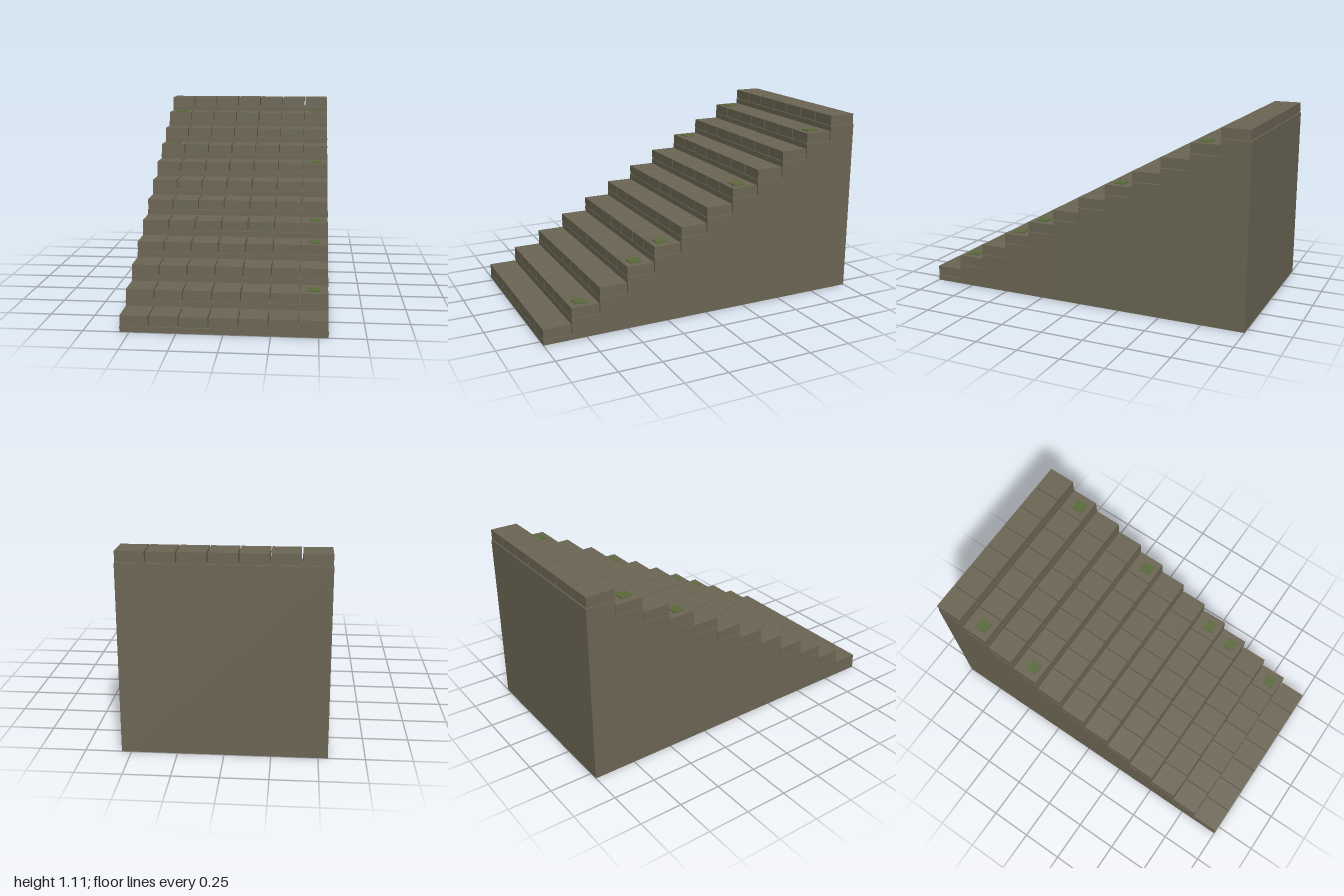
import * as THREE from 'three';

const STEPS = 12, COLUMNS = 7;
const RISE = 0.0923, DEPTH = 2 / STEPS, WIDTH = 1.104;
const BLOCK_H = 0.059, BLOCK_W = 0.152, BLOCK_D = 0.162, PITCH = 0.158;

const stone = new THREE.MeshStandardMaterial({ name: 'stone', color: 0x6c6654 });
const moss = new THREE.MeshStandardMaterial({ name: 'moss', color: 0x5a6b3a });

// Box standing on y
function box(parent, name, material, w, h, d, x, y, z) {
  const mesh = new THREE.Mesh(new THREE.BoxGeometry(w, h, d), material);
  mesh.name = name;
  mesh.position.set(x, y + h / 2, z);
  parent.add(mesh);
}

// Moss patches: step number -> sides
const mossSides = { 1: [1], 3: [1], 4: [1], 7: [1], 8: [-1], 10: [-1, 1] };

export function createModel() {
  const model = new THREE.Group();
  model.name = 'stoneStairs';

  for (let i = 0; i < STEPS; i++) {
    const step = new THREE.Group();
    step.name = `step${i + 1}`;
    model.add(step);

    const top = (i + 1) * RISE;
    const z = 1 - (i + 0.5) * DEPTH;

    // Solid riser reaching the ground
    box(step, 'stepBase', stone, WIDTH, top - BLOCK_H - 0.003, DEPTH, 0, 0, z);

    // Row of tread blocks with narrow joints
    for (let c = 0; c < COLUMNS; c++) {
      const x = (c - (COLUMNS - 1) / 2) * PITCH;
      box(step, 'treadBlock', stone, BLOCK_W, BLOCK_H, BLOCK_D, x, top - BLOCK_H, z + 0.002);
    }

    // Thin moss patches near the ends of the tread
    for (const side of mossSides[i] ?? []) {
      box(step, 'mossPatch', moss, 0.067, 0.007, 0.067, side * 0.475, top - 0.001, z + 0.015);
    }
  }
  return model;
}
